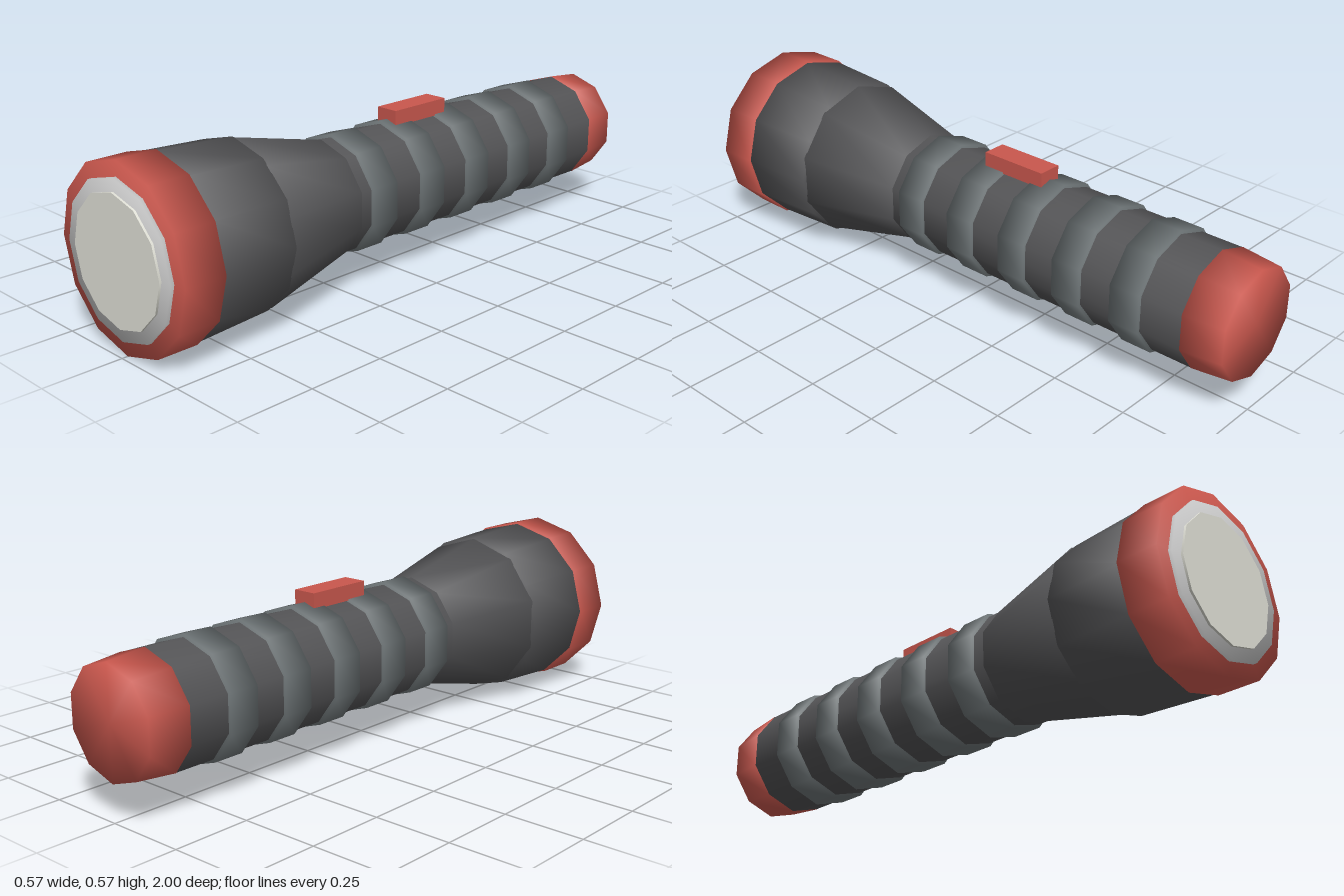
import * as THREE from 'three';
import { mergeVertices } from 'three/addons/utils/BufferGeometryUtils.js';

const AXIS_Y = 0.284;
const paint = (color) => new THREE.MeshStandardMaterial({ color });
const red = paint(0xc9574d);
const dark = paint(0x545456);
const slate = paint(0x6b7274);
const silver = paint(0xcccccc);
const glass = paint(0xe2e2d8);

export function createModel() {
  const model = new THREE.Group();
  model.name = 'flashlight';

  const add = (name, geometry, material, y, z) => {
    const mesh = new THREE.Mesh(geometry, material);
    mesh.name = name;
    mesh.position.set(0, y, z);
    model.add(mesh);
  };

  // Capped drum along z; soft drums share normals between side and caps
  const drum = (name, sides, zBack, zFront, rBack, rFront, material, soft = true) => {
    let g = new THREE.CylinderGeometry(rFront, rBack, zFront - zBack, sides);
    g.rotateX(Math.PI / 2);
    if (soft) {
      g.deleteAttribute('normal');
      g.deleteAttribute('uv');
      g = mergeVertices(g, 1e-4);
      g.computeVertexNormals();
    }
    add(name, g, material, AXIS_Y, (zBack + zFront) / 2);
  };

  // Handle and tail
  drum('handle', 10, -0.87, 0.255, 0.183, 0.183, dark);
  drum('tailCap', 10, -1, -0.87, 0.171, 0.184, red);

  // Grip rings
  for (let i = 0; i < 5; i++) {
    const z = 0.16 - i * 0.211;
    drum('gripRing' + (i + 1), 10, z - 0.051, z + 0.051, 0.193, 0.193, slate);
  }

  // Flared head
  drum('neck', 10, 0.25, 0.59, 0.183, 0.263, dark);
  drum('head', 12, 0.588, 0.85, 0.265, 0.279, dark);
  drum('bezel', 12, 0.848, 0.981, 0.284, 0.284, red);
  drum('reflectorRim', 12, 0.9, 0.993, 0.237, 0.237, silver);
  drum('lens', 12, 0.95, 1, 0.198, 0.198, glass, false);

  // Sliding switch on top
  add('switch', new THREE.BoxGeometry(0.078, 0.05, 0.226), red, 0.485, -0.143);

  return model;
}
